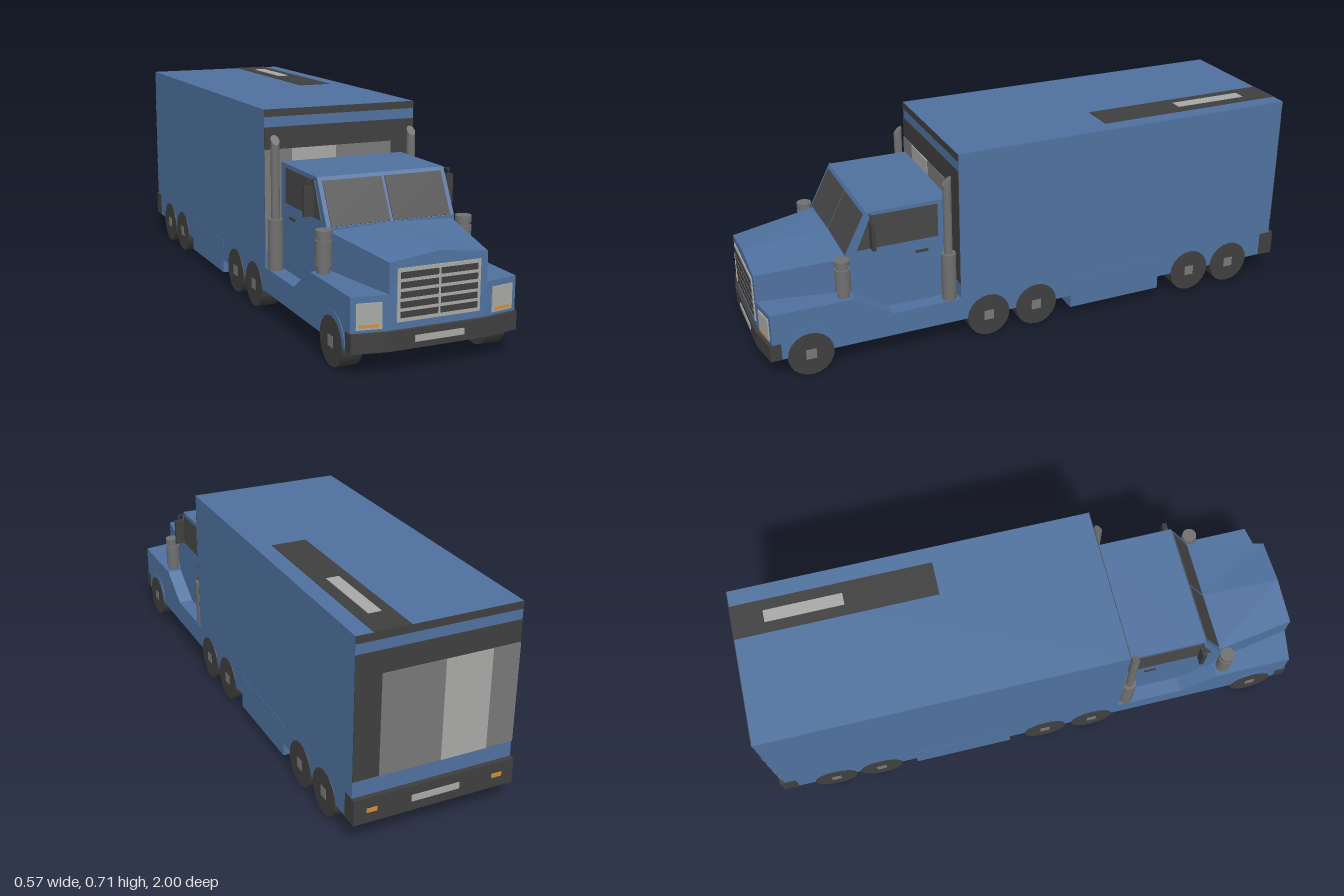
import * as THREE from 'three';

const mat = (name, color) => new THREE.MeshStandardMaterial({ name, color });

export function createModel() {
  const blue = mat('bodyBlue', 0x4f719f);
  const dark = mat('darkTrim', 0x403f3f);
  const glass = mat('glass', 0x474747);
  const steel = mat('steel', 0x707070);
  const mid = mat('midGrey', 0x787878);
  const light = mat('lightGrey', 0xa8a8a6);
  const amber = mat('amber', 0xd08c38);

  const truck = new THREE.Group();
  truck.name = 'boxTruck';

  const add = (name, geometry, material, x = 0, y = 0, z = 0) => {
    const mesh = new THREE.Mesh(geometry, material);
    mesh.name = name;
    mesh.position.set(x, y, z);
    truck.add(mesh);
    return mesh;
  };

  // Box given by its limits on each axis
  const block = (name, m, x0, x1, y0, y1, z0, z1) =>
    add(name, new THREE.BoxGeometry(x1 - x0, y1 - y0, z1 - z0), m, (x0 + x1) / 2, (y0 + y1) / 2, (z0 + z1) / 2);

  // Side profile of [z, y] points extruded from x0 to x1
  const profile = (pts, x0, x1) => {
    const shape = new THREE.Shape(pts.map(([z, y]) => new THREE.Vector2(z, y)));
    return new THREE.ExtrudeGeometry(shape, { depth: x1 - x0, bevelEnabled: false, curveSegments: 16 })
      .rotateY(-Math.PI / 2).translate(x1, 0, 0);
  };

  // Solid between two rings of corners, the first ring seen counter-clockwise from outside
  const loft = (a, b) => {
    const v = [];
    const n = a.length;
    for (let i = 0; i < n; i++) {
      const j = (i + 1) % n;
      v.push(...a[i], ...b[i], ...b[j], ...a[i], ...b[j], ...a[j]);
      if (i > 0 && i < n - 1) v.push(...a[0], ...a[i], ...a[j], ...b[0], ...b[j], ...b[i]);
    }
    const g = new THREE.BufferGeometry();
    g.setAttribute('position', new THREE.Float32BufferAttribute(v, 3));
    g.computeVertexNormals();
    return g;
  };

  // Upright stack built from [radius, y0, y1] sections
  const stack = (name, sections, x, z) => {
    for (const [r, y0, y1] of sections) {
      add(name, new THREE.CylinderGeometry(r, r, y1 - y0, 12), steel, x, (y0 + y1) / 2, z);
    }
  };

  // Chassis and cargo box
  block('chassis', blue, -0.28, 0.28, 0.08, 0.165, -0.96, 0.94);
  block('cargoBox', blue, -0.28, 0.28, 0.165, 0.705, -0.98, 0.303);

  // Painted panels, the same on both ends of the cargo box
  for (const [z, d] of [[0.303, 1], [-0.98, -1]]) {
    const panel = (name, m, x0, x1, y0, y1, t) =>
      block(name, m, x0, x1, y0, y1, Math.min(z, z + d * t), Math.max(z, z + d * t));
    panel('endTopBand', dark, -0.28, 0.28, 0.68, 0.705, 0.002);
    panel('endDarkPanel', dark, -0.28, 0.28, 0.225, 0.645, 0.002);
    panel('endGreyPanel', mid, -0.28, 0.192, 0.225, 0.57, 0.004);
    panel('endLightPanel', light, -0.182, -0.02, 0.225, 0.57, 0.006);
  }

  // Roof stripe
  block('roofStripe', dark, 0.1, 0.222, 0.704, 0.707, -0.98, -0.272);
  block('roofStripeInset', light, 0.138, 0.182, 0.706, 0.709, -0.87, -0.595);

  // Hood with a raised centre line, tapering to the nose
  const hoodRing = (w, edge, peak, z) =>
    [[-w, 0.14, z], [w, 0.14, z], [w, edge, z], [0, peak, z], [-w, edge, z]];
  add('hood', loft(hoodRing(0.165, 0.345, 0.365, 0.985), hoodRing(0.221, 0.375, 0.385, 0.67)), blue);

  // Cab
  add('cab', profile([[0.32, 0.165], [0.685, 0.165], [0.685, 0.385], [0.61, 0.53], [0.32, 0.53]], -0.226, 0.226), blue);

  // Grille
  block('grilleFrame', light, -0.14, 0.14, 0.163, 0.325, 0.98, 0.989);
  for (let row = 0; row < 5; row++) {
    const y = 0.185 + row * 0.0297;
    for (const x of [-0.067, 0.067]) {
      add('grilleSlot', new THREE.BoxGeometry(0.125, 0.019, 0.004), dark, x, y, 0.989);
    }
  }

  // Bumpers and their plates
  const bumperRing = (y) => [[-0.282, 0.975], [-0.165, 0.997], [0.165, 0.997], [0.282, 0.975], [0.282, 0.937], [-0.282, 0.937]]
    .map(([x, z]) => [x, y, z]);
  add('frontBumper', loft(bumperRing(0.14), bumperRing(0.08)), dark);
  block('frontPlate', light, -0.084, 0.082, 0.1, 0.12, 0.995, 1.0);
  block('rearBumper', dark, -0.282, 0.282, 0.08, 0.168, -0.997, -0.94);
  block('rearPlate', light, -0.084, 0.084, 0.113, 0.135, -1.0, -0.995);

  const slope = Math.atan(0.075 / 0.145);
  const fenderAngle = Math.atan(0.02 / 0.115);

  for (const s of [-1, 1]) {
    // Block limits measured outwards from the centre line
    const sideBlock = (name, m, x0, x1, ...rest) =>
      block(name, m, Math.min(s * x0, s * x1), Math.max(s * x0, s * x1), ...rest);
    const sideProfile = (pts, x0, x1) => profile(pts, Math.min(s * x0, s * x1), Math.max(s * x0, s * x1));

    // Fender running down into the step, with its front corner swept back
    const fender = sideProfile([[0.985, 0.085], [0.985, 0.25], [0.68, 0.25], [0.55, 0.165], [0.31, 0.165], [0.31, 0.085]], 0.165, 0.28);
    const p = fender.attributes.position;
    for (let i = 0; i < p.count; i++) {
      if (Math.abs(p.getX(i)) > 0.2 && p.getZ(i) > 0.9) p.setZ(i, 0.965);
    }
    fender.computeVertexNormals();
    add('fender', fender, blue);

    // Wheel arch lip
    const lip = [];
    for (let i = 0; i <= 12; i++) {
      const a = (i / 12) * Math.PI;
      lip.push([0.84 + 0.094 * Math.cos(a), 0.085 + 0.094 * Math.sin(a)]);
    }
    add('archLip', sideProfile(lip, 0.278, 0.282), blue);

    // Headlights and indicators
    const lamp = add('headlight', new THREE.BoxGeometry(0.08, 0.08, 0.006), light, s * 0.225, 0.19, 0.976);
    const indicator = add('indicator', new THREE.BoxGeometry(0.058, 0.009, 0.004), amber, s * 0.225, 0.161, 0.979);
    lamp.rotation.y = indicator.rotation.y = s * fenderAngle;
    block('rearLamp', amber, s * 0.22 - 0.018, s * 0.22 + 0.018, 0.117, 0.131, -1.0, -0.995);

    // Windows and door handle
    const windshield = add('windshield', new THREE.BoxGeometry(0.206, 0.148, 0.006), glass, s * 0.108, 0.452, 0.65);
    windshield.rotation.x = -slope;
    add('sideWindow', sideProfile([[0.648, 0.398], [0.595, 0.517], [0.362, 0.517], [0.362, 0.398]], 0.225, 0.229), glass);
    sideBlock('doorHandle', dark, 0.225, 0.232, 0.35, 0.358, 0.4, 0.444);

    // Mirror on two arms
    sideBlock('mirror', dark, 0.235, 0.267, 0.405, 0.502, 0.592, 0.606);
    sideBlock('mirrorArm', dark, 0.22, 0.255, 0.52, 0.524, 0.597, 0.602);
    sideBlock('mirrorArm', dark, 0.22, 0.24, 0.41, 0.414, 0.597, 0.602);
    sideBlock('mirrorPost', dark, 0.249, 0.254, 0.5, 0.524, 0.597, 0.602);

    // Air cleaner on the fender, exhaust stack behind the cab
    stack('airCleaner', [[0.021, 0.25, 0.375], [0.027, 0.285, 0.355], [0.028, 0.275, 0.287], [0.027, 0.365, 0.387]], s * 0.247, 0.708);
    stack('exhaust', [[0.026, 0.165, 0.34], [0.015, 0.34, 0.59]], s * 0.255, 0.337);
    const tip = new THREE.CylinderGeometry(0.015, 0.015, 0.05, 12);
    const tp = tip.attributes.position;
    for (let i = 0; i < tp.count; i++) {
      if (tp.getY(i) > 0) tp.setY(i, 0.017 - tp.getZ(i));
    }
    tip.computeVertexNormals();
    add('exhaustTip', tip, steel, s * 0.255, 0.59, 0.337);

    // Side lockers
    sideBlock('sideLocker', blue, 0.155, 0.281, 0.033, 0.158, -0.487, -0.123);

    // Wheels
    for (const z of [0.84, 0.2, 0.016, -0.623, -0.798]) {
      add('wheel', new THREE.CylinderGeometry(0.079, 0.079, 0.068, 20).rotateZ(Math.PI / 2), dark, s * 0.249, 0.079, z);
      add('hub', new THREE.BoxGeometry(0.003, 0.036, 0.036), mid, s * 0.283, 0.079, z);
    }
  }

  return truck;
}
